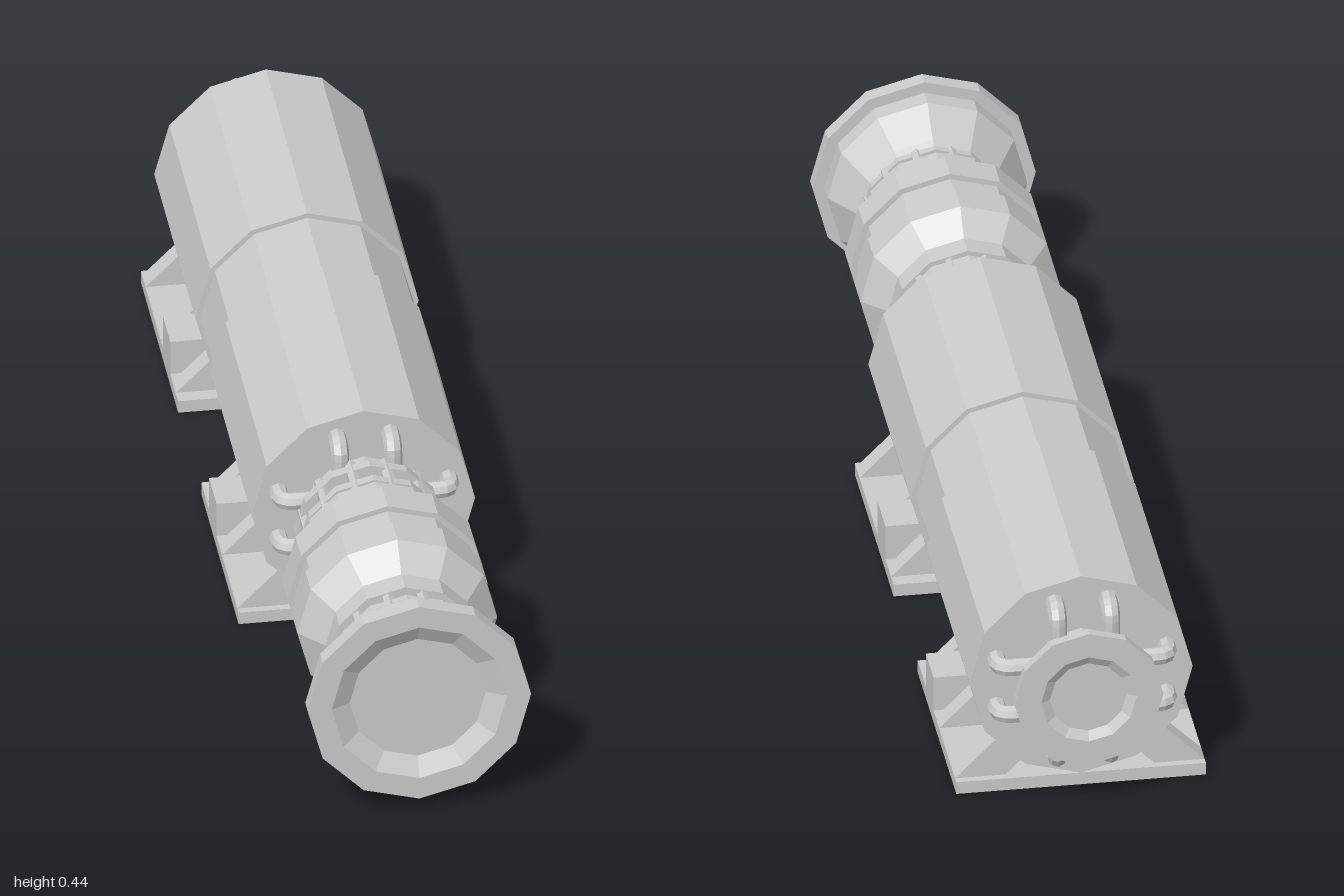
import * as THREE from 'three';

const material = new THREE.MeshStandardMaterial({ color: 0xcccccc, flatShading: true });
const AXIS_Y = 0.235;
const SIDES = 12;

function add(parent, name, geometry) {
  const mesh = new THREE.Mesh(geometry, material);
  mesh.name = name;
  parent.add(mesh);
  return mesh;
}

// Twelve-sided turned part along z; profile is [z, radius] from back to front
function turned(parent, name, profile) {
  const points = profile.map(([z, r]) => new THREE.Vector2(r, z));
  const geometry = new THREE.LatheGeometry(points, SIDES);
  geometry.rotateX(Math.PI / 2);
  return add(parent, name, geometry);
}

// Ring of small bolts running along z
function boltRing(parent, z0, z1, radius) {
  const ring = new THREE.Group();
  ring.name = 'boltRing';
  for (let i = 0; i < SIDES; i++) {
    const a = ((i + 0.5) / SIDES) * Math.PI * 2;
    const geometry = new THREE.CylinderGeometry(0.012, 0.012, z1 - z0, 6);
    geometry.rotateX(Math.PI / 2);
    add(ring, 'bolt', geometry).position.set(Math.cos(a) * radius, Math.sin(a) * radius, (z0 + z1) / 2);
  }
  parent.add(ring);
}

// Eight elbow pipes, in four parallel pairs, from an end face to the neck
function elbowPipes(parent, zFace, dir) {
  const group = new THREE.Group();
  group.name = 'elbowPipes';
  const v = (r, d) => new THREE.Vector3(0, r, d);
  for (let i = 0; i < 4; i++) {
    for (const offset of [-0.05, 0.05]) {
      const path = new THREE.CurvePath();
      path.add(new THREE.LineCurve3(v(0.16, -0.01), v(0.16, 0.018)));
      path.add(new THREE.QuadraticBezierCurve3(v(0.16, 0.018), v(0.16, 0.04), v(0.138, 0.04)));
      path.add(new THREE.LineCurve3(v(0.138, 0.04), v(0.07, 0.04)));
      const pipe = add(group, 'elbowPipe', new THREE.TubeGeometry(path, 12, 0.017, 8));
      const a = (i * Math.PI) / 2;
      pipe.rotation.set(0, dir < 0 ? Math.PI : 0, a, 'ZYX');
      pipe.position.set(Math.cos(a) * offset, Math.sin(a) * offset, zFace);
    }
  }
  parent.add(group);
}

// Base plate with three slanted struts and one block per side
function foot(name, dir) {
  const group = new THREE.Group();
  group.name = name;
  add(group, 'basePlate', new THREE.BoxGeometry(0.47, 0.025, 0.462)).position.y = 0.0125;
  const strutShape = new THREE.Shape([
    [0.235, 0.025], [0.14, 0.025], [0.095, 0.07], [0.14, 0.12],
  ].map(([x, y]) => new THREE.Vector2(x, y)));
  for (const side of [0, Math.PI]) {
    const half = new THREE.Group();
    half.name = 'footSide';
    half.rotation.y = side;
    const flip = side ? -1 : 1;
    for (const z of [0.195, 0.005, -0.18]) {
      const geometry = new THREE.ExtrudeGeometry(strutShape, { depth: 0.042, bevelEnabled: false });
      add(half, 'strut', geometry).position.z = z * dir * flip - 0.021;
    }
    add(half, 'footBlock', new THREE.BoxGeometry(0.115, 0.07, 0.092))
      .position.set(0.1775, 0.06, -0.0875 * dir * flip);
    group.add(half);
  }
  return group;
}

export function createModel() {
  const model = new THREE.Group();
  model.name = 'machine';
  const body = new THREE.Group();
  body.name = 'body';
  body.position.y = AXIS_Y;
  model.add(body);

  // Main casing with a slightly slimmer waist
  turned(body, 'mainCasing', [
    [-0.905, 0], [-0.905, 0.21], [-0.395, 0.21], [-0.395, 0.2],
    [-0.205, 0.2], [-0.205, 0.21], [0.305, 0.21], [0.305, 0],
  ]);

  // Rear neck and end flange with a shallow dished centre
  turned(body, 'rearFlange', [
    [-0.99, 0], [-0.99, 0.072], [-1, 0.09], [-1, 0.14],
    [-0.98, 0.14], [-0.98, 0.1], [-0.9, 0.1],
  ]);

  // Front neck with a pair of bolted discs
  turned(body, 'frontNeck', [
    [0.3, 0.11], [0.365, 0.11], [0.365, 0.14], [0.386, 0.14], [0.386, 0.118],
    [0.418, 0.118], [0.418, 0.14], [0.437, 0.14], [0.437, 0.12], [0.455, 0.12],
  ]);
  boltRing(body, 0.35, 0.45, 0.125);

  // Double-bulged coupling
  turned(body, 'coupling', [
    [0.448, 0], [0.448, 0.143], [0.495, 0.143], [0.538, 0.188], [0.607, 0.188],
    [0.607, 0.177], [0.66, 0.177], [0.66, 0.188], [0.725, 0.188],
    [0.775, 0.143], [0.822, 0.143], [0.822, 0],
  ]);
  boltRing(body, 0.82, 0.86, 0.125);

  // Front bell, its bolted collar and the dished end flange
  turned(body, 'frontBell', [
    [0.82, 0.115], [0.84, 0.115], [0.84, 0.138], [0.855, 0.138], [0.867, 0.145],
    [0.93, 0.188], [0.968, 0.188], [0.968, 0.21], [1, 0.21], [1, 0.165],
    [0.98, 0.128], [0.98, 0],
  ]);

  elbowPipes(body, 0.305, 1);
  elbowPipes(body, -0.905, -1);

  // Mounting feet, mirrored about the waist
  const frontFoot = foot('frontFoot', 1);
  frontFoot.position.z = 0.075;
  const rearFoot = foot('rearFoot', -1);
  rearFoot.position.z = -0.674;
  model.add(frontFoot, rearFoot);
  return model;
}
